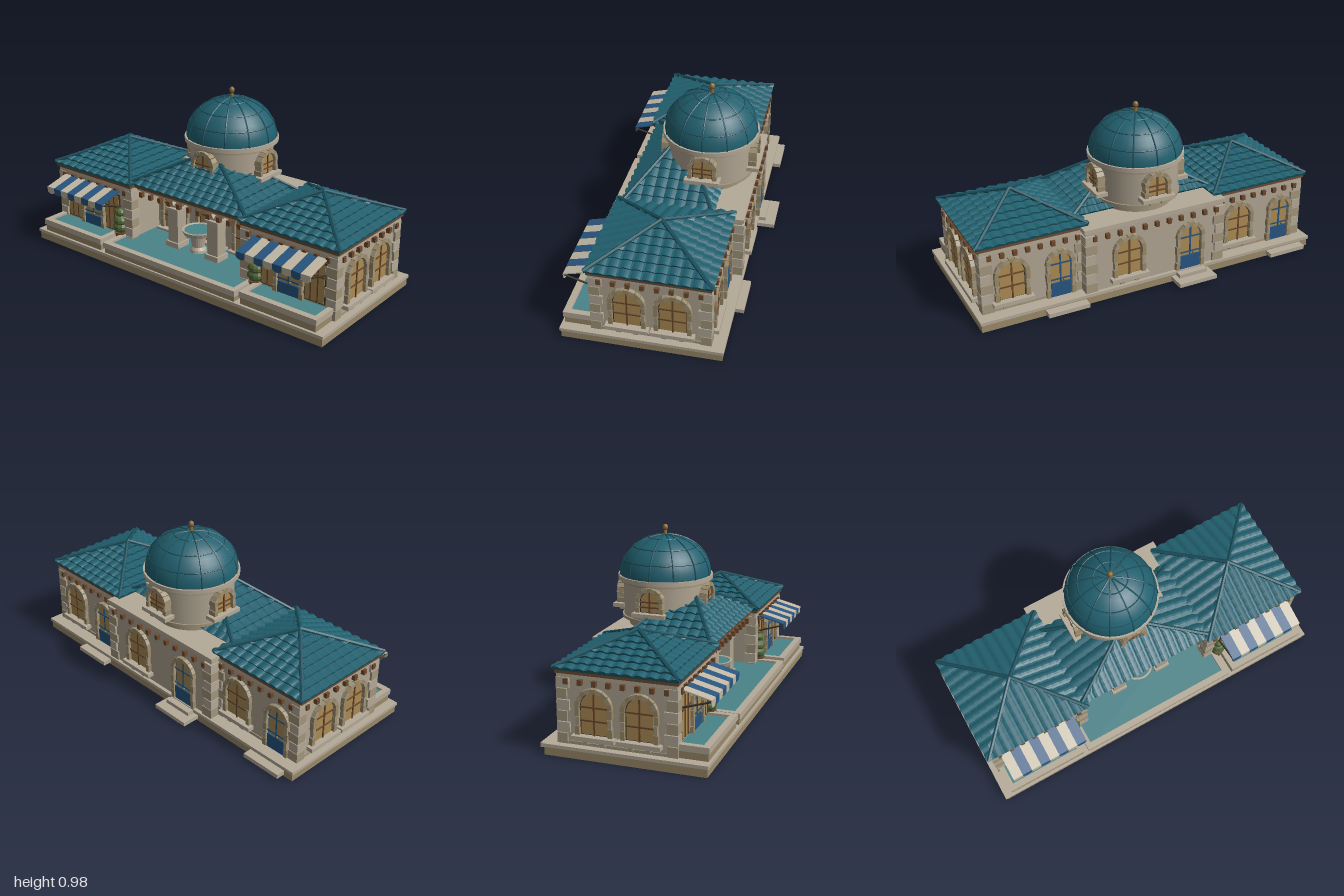
import * as THREE from 'three';

const C = { wall: 0xb0a592, stone: 0xa3967c, base: 0x9a8a69, light: 0xb5aa98, teal: 0x21606f, rib: 0x1b4f5c, gold: 0xab8b54,
  dark: 0x3b3529, brown: 0x6e4a2e, blue: 0x285580, cream: 0xc2b8a4, water: 0x4a8389, green: 0x55683a, brass: 0x8c6a34 };
const mats = {};
function mat(color, flat = true) {
  const key = color + '_' + flat;
  return mats[key] ??= new THREE.MeshStandardMaterial({ color, flatShading: flat, side: THREE.DoubleSide });
}
function add(parent, name, geo, color, x = 0, y = 0, z = 0, flat = true) {
  const m = new THREE.Mesh(geo, mat(color, flat));
  m.name = name;
  m.position.set(x, y, z);
  parent.add(m);
  return m;
}
// Box given by its ranges along x, y and z
function block(parent, name, color, x0, x1, y0, y1, z0, z1) {
  const g = new THREE.BoxGeometry(Math.abs(x1 - x0), y1 - y0, Math.abs(z1 - z0));
  return add(parent, name, g, color, (x0 + x1) / 2, (y0 + y1) / 2, (z0 + z1) / 2);
}
// Round bar between two points
function bar(parent, name, color, a, b, r) {
  return add(parent, name, new THREE.TubeGeometry(new THREE.LineCurve3(a, b), 1, r, 6), color);
}
const V = (x, y, z) => new THREE.Vector3(x, y, z);

// Round-headed panel standing on y = 0
function archGeo(hw, spring, depth) {
  const s = new THREE.Shape();
  s.moveTo(-hw, 0).lineTo(hw, 0).lineTo(hw, spring).absarc(0, spring, hw, 0, Math.PI, false).lineTo(-hw, 0);
  return new THREE.ExtrudeGeometry(s, { depth, bevelEnabled: false, curveSegments: 12 });
}
// Arched window or door, facing +z before rotation
function arched(parent, name, x, y, z, ry, { hw = 0.073, spring = 0.14, door = false, sill = true } = {}) {
  const g = new THREE.Group();
  g.name = name;
  g.position.set(x, y, z);
  g.rotation.y = ry;
  parent.add(g);
  const fr = door ? C.blue : C.brown, top = spring + hw, ring = 0.022;
  add(g, 'frame', archGeo(hw + 0.004, spring, 0.03), door ? C.blue : C.dark, 0, 0, -0.028);
  add(g, 'glass', archGeo(hw - 0.006, spring, 0.004), C.gold, 0, 0.004, 0.002);
  block(g, 'mullion', fr, -0.004, 0.004, 0, top, 0, 0.011);
  for (const f of [0.52, 1]) block(g, 'crossbar', fr, -hw, hw, spring * f - 0.004, spring * f + 0.004, 0, 0.01);
  if (door) {
    block(g, 'doorPanel', C.blue, -hw + 0.004, hw - 0.004, 0, spring * 0.42, 0, 0.014);
    add(g, 'knob', new THREE.SphereGeometry(0.007, 8, 6), C.brass, 0.015, spring * 0.5, 0.02);
  }
  for (let i = 0; i < 9; i++) {
    const a = (i + 0.5) / 9 * Math.PI, r = hw + ring / 2;
    const v = add(g, 'archStone', new THREE.BoxGeometry(ring, r * Math.PI / 9 + 0.001, 0.05), i % 2 ? C.stone : C.base, Math.cos(a) * r, spring + Math.sin(a) * r, -0.005);
    v.rotation.z = a;
  }
  const n = Math.max(2, Math.round(spring / 0.045));
  for (const s of [-1, 1]) for (let i = 0; i < n; i++)
    block(g, 'jambStone', i % 2 ? C.stone : C.base, s * hw, s * (hw + ring - (i % 2) * 0.004), i * spring / n + 0.001, (i + 1) * spring / n - 0.001, -0.03, 0.02);
  if (sill) {
    block(g, 'sill', C.light, -hw - 0.038, hw + 0.038, -0.024, -0.002, -0.03, 0.036);
    for (const s of [-1, 1]) block(g, 'sillBracket', C.stone, s * hw * 0.6 - 0.012, s * hw * 0.6 + 0.012, -0.046, -0.024, -0.02, 0.02);
  }
  return g;
}
// One triangular roof slope of stepped, barrel-shaped tiles: eave from a to b, rising to apex
function tileSlope(a, b, apex, rows) {
  const u = b.clone().sub(a), H = u.length() / 2, mid = a.clone().add(b).multiplyScalar(0.5);
  u.normalize();
  const up = apex.clone().sub(mid), n = u.clone().cross(up).normalize();
  const pos = [], idx = [], cols = Math.round(2 * H / 0.01);
  const put = (s, v, lift) => {
    const w = H * (1 - v), x = THREE.MathUtils.clamp(s, -w, w);
    pos.push(...mid.clone().addScaledVector(u, x).addScaledVector(up, v).addScaledVector(n, lift).toArray());
  };
  for (let k = 0; k < rows; k++) {
    const start = pos.length / 3;
    for (let i = 0; i <= cols; i++) {
      const s = -H + 2 * H * i / cols, bump = 0.012 * Math.abs(Math.cos(Math.PI * s / 0.06));
      put(s, k / rows, -0.002);
      put(s, k / rows, 0.008 + bump);
      put(s, (k + 1) / rows, bump * 0.7);
      if (i < cols) for (const j of [0, 1]) {
        const p = start + i * 3 + j;
        idx.push(p, p + 3, p + 4, p, p + 4, p + 1);
      }
    }
  }
  const g = new THREE.BufferGeometry();
  g.setAttribute('position', new THREE.Float32BufferAttribute(pos, 3));
  g.setIndex(idx);
  g.computeVertexNormals();
  return g;
}
function hipRoof(parent, name, cx, cz, hx, hz, y, top, rows) {
  const g = new THREE.Group();
  g.name = name;
  parent.add(g);
  const apex = V(cx, top, cz);
  const c = [[-1, 1], [1, 1], [1, -1], [-1, -1]].map(([i, j]) => V(cx + i * hx, y, cz + j * hz));
  c.forEach((p, i) => {
    add(g, 'tiles', tileSlope(p, c[(i + 1) % 4], apex, rows), C.teal);
    bar(g, 'hipCap', C.rib, p.clone().add(V(0, 0.012, 0)), apex.clone().add(V(0, 0.012, 0)), 0.011);
  });
  block(g, 'eaveBoard', C.brown, cx - hx + 0.006, cx + hx - 0.006, y - 0.018, y, cz - hz + 0.006, cz + hz - 0.006);
}
function quoins(parent, x, z, sx, sz) {
  for (let i = 0; i < 6; i++) {
    const a = i % 2 ? 0.042 : 0.055, b = i % 2 ? 0.055 : 0.042, y = 0.06 + i * 0.056;
    block(parent, 'quoin', i % 2 ? C.light : C.stone, x + sx * 0.012, x - sx * a, y + 0.002, y + 0.054, z + sz * 0.012, z - sz * b);
  }
}
// Row of eave brackets between two points on a wall
function brackets(parent, x0, z0, x1, z1, count) {
  for (let i = 0; i < count; i++) {
    const t = (i + 0.5) / count;
    add(parent, 'eaveBracket', new THREE.BoxGeometry(0.022, 0.028, 0.022), C.brown, x0 + (x1 - x0) * t, 0.378, z0 + (z1 - z0) * t);
  }
}
// Shallow water basin with a raised rim
function basin(parent, name, x0, x1, z0, z1, top) {
  const g = new THREE.Group();
  g.name = name;
  parent.add(g);
  block(g, 'basinBody', C.base, x0 + 0.006, x1 - 0.006, 0.055, top - 0.03, z0, z1 - 0.006);
  block(g, 'water', C.water, x0 + 0.02, x1 - 0.02, 0.06, top - 0.012, z0, z1 - 0.02);
  block(g, 'frontRim', C.light, x0, x1, top - 0.032, top, z1 - 0.035, z1);
  for (const x of [x0, x1 - 0.03]) block(g, 'sideRim', C.light, x, x + 0.03, top - 0.032, top, z0, z1 - 0.035);
}

function wing(parent, s) {
  const g = new THREE.Group();
  g.name = s > 0 ? 'leftWing' : 'rightWing';
  parent.add(g);
  block(g, 'wingWall', C.wall, s * 0.395, s * 0.955, 0.055, 0.42, -0.295, 0.295);
  block(g, 'wallCornice', C.light, s * 0.385, s * 0.965, 0.395, 0.42, -0.305, 0.305);
  block(g, 'wallPlinth', C.stone, s * 0.385, s * 0.96, 0.055, 0.075, -0.3, 0.3);
  hipRoof(g, 'wingRoof', s * 0.68, 0.003, 0.303, 0.316, 0.435, 0.567, 7);
  for (const z of [1, -1]) {
    quoins(g, s * 0.955, z * 0.295, s, z);
    quoins(g, s * 0.395, z * 0.295, -s, z);
    brackets(g, s * 0.4, z * 0.305, s * 0.95, z * 0.305, 8);
  }
  brackets(g, s * 0.965, -0.29, s * 0.965, 0.29, 8);
  for (const z of [0.118, -0.113]) arched(g, 'sideWindow', s * 0.957, 0.118, z, s * Math.PI / 2);
  // Back door with its step, and back window
  const doorX = s > 0 ? 0.535 : -0.825, winX = s > 0 ? 0.8 : -0.55;
  arched(g, 'backDoor', doorX, 0.062, -0.297, Math.PI, { hw: 0.06, spring: 0.19, door: true, sill: false });
  arched(g, 'backWindow', winX, 0.118, -0.297, Math.PI);
  block(g, 'backStep', C.light, doorX - 0.115, doorX + 0.115, 0.012, 0.035, -0.415, -0.36);
  // Shop front
  for (const [x, hw] of [[0.54, 0.058], [0.84, 0.063]]) {
    block(g, 'shopWindowFrame', C.dark, s * x - hw, s * x + hw, 0.125, 0.35, 0.29, 0.301);
    block(g, 'shopWindow', C.gold, s * x - hw + 0.006, s * x + hw - 0.006, 0.131, 0.344, 0.29, 0.304);
    for (const k of [-0.33, 0.33]) block(g, 'shopMullion', C.brown, s * x + k * hw - 0.004, s * x + k * hw + 0.004, 0.131, 0.344, 0.3, 0.309);
    block(g, 'shopCrossbar', C.brown, s * x - hw, s * x + hw, 0.27, 0.278, 0.3, 0.309);
  }
  arched(g, 'shopDoor', s * 0.69, 0.11, 0.3, 0, { hw: 0.068, spring: 0.165, door: true, sill: false });
  // Striped awning with a scalloped edge
  for (let i = 0; i < 8; i++) {
    const w = 0.0555, x = s * (0.468 + (i + 0.5) * w), color = i % 2 ? C.cream : C.blue;
    const panel = add(g, 'awningStripe', new THREE.BoxGeometry(w, 0.006, 0.148), color, x, 0.361, 0.38);
    panel.rotation.x = Math.atan2(0.036, 0.14);
    block(g, 'awningValance', color, x - w / 2, x + w / 2, 0.322, 0.345, 0.447, 0.453);
    const tip = add(g, 'awningScallop', new THREE.CylinderGeometry(w / 2, w / 2, 0.006, 10, 1, false, -Math.PI / 2, Math.PI), color, x, 0.322, 0.45);
    tip.rotation.x = Math.PI / 2;
    tip.scale.z = 0.6;
  }
  for (const x of [0.474, 0.906]) bar(g, 'awningArm', C.dark, V(s * x, 0.335, 0.447), V(s * x, 0.29, 0.3), 0.005);
  basin(g, 'wingBasin', s > 0 ? 0.49 : -0.955, s > 0 ? 0.955 : -0.49, 0.3, 0.455, 0.13);
  // Clipped shrub in a pot
  const shrub = new THREE.Group();
  shrub.name = 'topiary';
  shrub.position.set(s * 0.48, 0, 0.305);
  g.add(shrub);
  add(shrub, 'pot', new THREE.CylinderGeometry(0.035, 0.025, 0.075, 10), C.brown, 0, 0.095, 0);
  [[0.045, 0.16], [0.042, 0.2], [0.031, 0.25]].forEach(([r, y]) =>
    add(shrub, 'foliage', new THREE.SphereGeometry(r, 10, 7).scale(1, 0.8, 0.8), C.green, 0, y, 0));
}

function hall(parent) {
  const g = new THREE.Group();
  g.name = 'centralHall';
  parent.add(g);
  block(g, 'hallWall', C.wall, -0.41, 0.41, 0.055, 0.42, -0.352, 0.07);
  block(g, 'flatRoof', C.light, -0.42, 0.42, 0.412, 0.434, -0.363, 0.07);
  for (const s of [-1, 1]) quoins(g, s * 0.405, -0.352, s, -1);
  brackets(g, -0.4, -0.362, 0.4, -0.362, 11);
  hipRoof(g, 'hallRoof', 0, 0.045, 0.405, 0.24, 0.435, 0.645, 8);
  for (const x of [-0.26, 0, 0.26]) arched(g, 'hallWindow', x, 0.125, 0.072, 0, { hw: 0.08, spring: 0.15 });
  arched(g, 'hallBackWindow', 0.165, 0.118, -0.354, Math.PI);
  arched(g, 'hallBackDoor', -0.205, 0.062, -0.354, Math.PI, { hw: 0.065, spring: 0.19, door: true, sill: false });
  block(g, 'lowerStep', C.light, -0.32, -0.09, 0.012, 0.034, -0.465, -0.36);
  block(g, 'upperStep', C.light, -0.29, -0.12, 0.034, 0.055, -0.41, -0.36);
  // Portico beam and pillars with spreading braces
  block(g, 'porticoBeam', C.stone, -0.4, 0.4, 0.395, 0.42, 0.165, 0.255);
  brackets(g, -0.38, 0.262, 0.38, 0.262, 11);
  for (const x of [-0.14, 0.14]) {
    block(g, 'pillarFoot', C.light, x - 0.045, x + 0.045, 0.06, 0.14, 0.155, 0.245);
    block(g, 'pillar', C.wall, x - 0.035, x + 0.035, 0.06, 0.335, 0.165, 0.235);
    block(g, 'pillarCap', C.light, x - 0.044, x + 0.044, 0.325, 0.342, 0.156, 0.244);
    for (const s of [-1, 1]) {
      const brace = add(g, 'pillarBrace', new THREE.BoxGeometry(0.028, 0.09, 0.05), C.light, x + s * 0.03, 0.372, 0.2);
      brace.rotation.z = -s * 0.55;
    }
  }
  basin(g, 'centralPool', -0.465, 0.465, 0.07, 0.46, 0.122);
  // Fountain bowl
  const bowl = [[0, 0.1], [0.05, 0.1], [0.045, 0.125], [0.035, 0.14], [0.045, 0.2], [0.08, 0.215], [0.09, 0.24], [0.078, 0.24], [0.07, 0.228], [0, 0.228]];
  add(g, 'fountain', new THREE.LatheGeometry(bowl.map(p => new THREE.Vector2(...p)), 20), C.light, 0, 0, 0.185);
  add(g, 'fountainWater', new THREE.CylinderGeometry(0.076, 0.076, 0.006, 20), C.water, 0, 0.234, 0.185);
}

function rotunda(parent) {
  const g = new THREE.Group();
  g.name = 'rotunda';
  g.position.z = -0.108;
  parent.add(g);
  const R = 0.25, Y = 0.708, H = 0.215;
  const disc = (name, color, r, y0, y1) => add(g, name, new THREE.CylinderGeometry(r, r, y1 - y0, 40), color, 0, (y0 + y1) / 2, 0, false);
  disc('drumCore', C.stone, 0.2, 0.42, 0.48);
  disc('drumFoot', C.stone, 0.238, 0.474, 0.49);
  disc('drum', C.wall, 0.23, 0.48, 0.69);
  disc('drumBand', C.stone, 0.245, 0.672, 0.688);
  disc('domeCornice', C.light, 0.26, 0.686, 0.71);
  for (let i = 0; i < 4; i++) {
    const a = i * Math.PI / 2;
    arched(g, 'drumWindow', Math.sin(a) * 0.24, 0.54, Math.cos(a) * 0.24, a, { hw: 0.056, spring: 0.058 });
  }
  // Ribbed dome
  add(g, 'dome', new THREE.SphereGeometry(1, 36, 9, 0, Math.PI * 2, 0, Math.PI / 2).scale(R, H, R), C.teal, 0, Y, 0, false);
  for (let i = 0; i < 12; i++) {
    const a = i / 12 * Math.PI * 2, pts = [];
    for (let k = 0; k <= 9; k++) {
      const t = k / 9 * Math.PI / 2;
      pts.push(V(Math.cos(t) * R * Math.cos(a), Y + Math.sin(t) * H, Math.cos(t) * R * Math.sin(a)));
    }
    add(g, 'domeRib', new THREE.TubeGeometry(new THREE.CatmullRomCurve3(pts), 18, 0.0045, 5), C.rib);
  }
  for (const t of [0.4, 0.8, 1.2]) {
    const ring = add(g, 'domeRing', new THREE.TorusGeometry(R * Math.cos(t), 0.0035, 5, 36), C.rib, 0, Y + H * Math.sin(t), 0);
    ring.rotation.x = Math.PI / 2;
  }
  add(g, 'finialStem', new THREE.CylinderGeometry(0.006, 0.012, 0.04, 10), C.brass, 0, 0.935, 0);
  add(g, 'finialBall', new THREE.SphereGeometry(0.015, 12, 10).scale(1, 1.2, 1), C.brass, 0, 0.962, 0, false);
}

export function createModel() {
  const model = new THREE.Group();
  model.name = 'domedPavilion';
  block(model, 'plinth', C.base, -0.993, 0.993, 0, 0.045, -0.366, 0.458);
  block(model, 'plinthCoping', C.light, -1, 1, 0.043, 0.06, -0.372, 0.464);
  wing(model, 1);
  wing(model, -1);
  hall(model);
  rotunda(model);
  return model;
}
